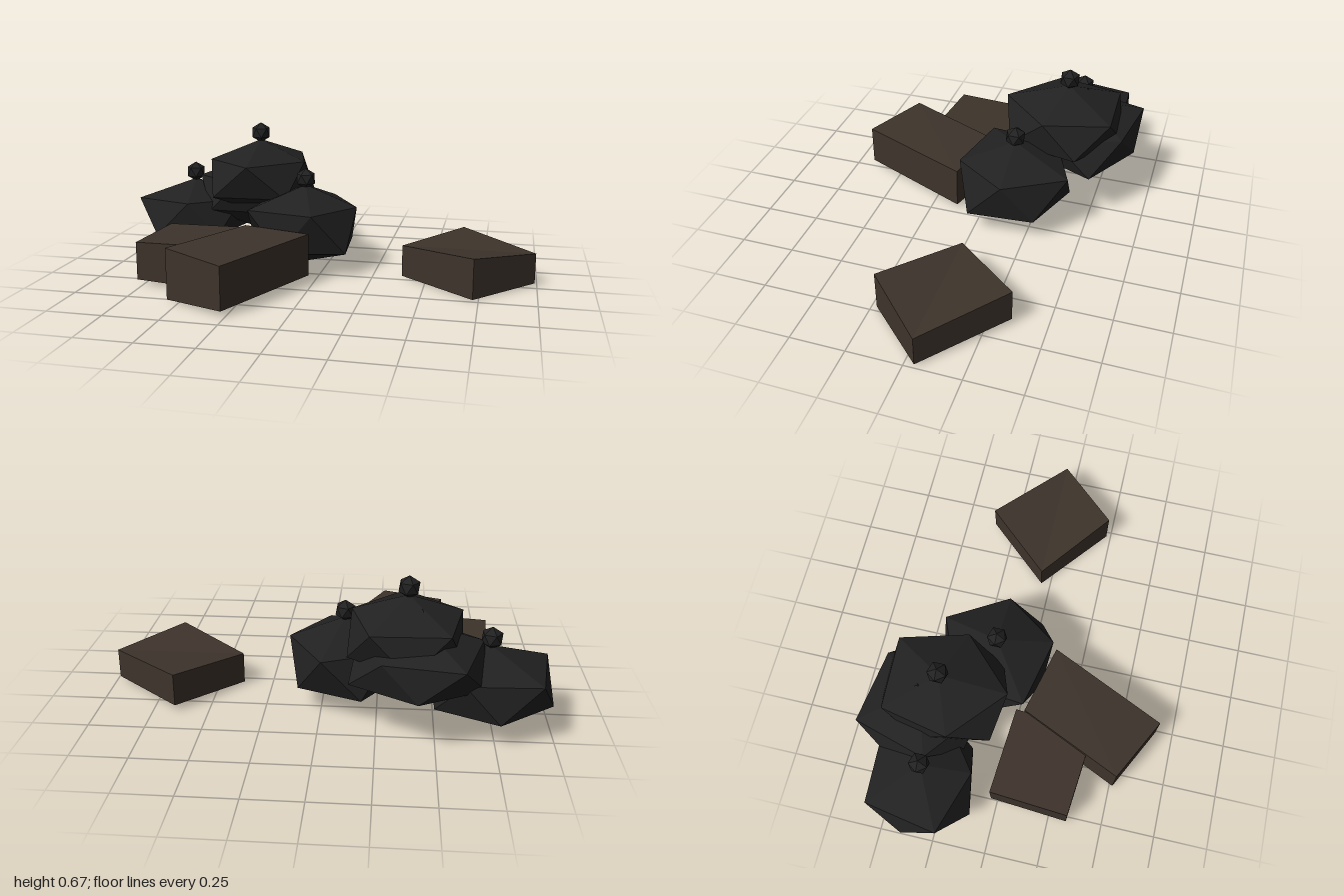
import * as THREE from 'three';

const bagBlack = new THREE.MeshStandardMaterial({ color: 0x212121, flatShading: true });
bagBlack.name = 'bag black';
const boxBrown = new THREE.MeshStandardMaterial({ color: 0x3d332b, flatShading: true });
boxBrown.name = 'cardboard brown';

// Slumped sack: top point, five upper and five lower corners alternating, bottom point
function bagGeometry(startDeg, radii, yTop, yUpper, yLower, yBottom) {
  const top = [0, yTop, 0], bottom = [0, yBottom, 0];
  const ring = (i) => {
    const a = THREE.MathUtils.degToRad(startDeg + 36 * i);
    const r = radii[i % 10];
    return [r * Math.cos(a), i % 2 ? yLower : yUpper, -r * Math.sin(a)];
  };
  const points = [];
  for (let i = 0; i < 10; i += 2) {
    const [a, b, c, d] = [ring(i), ring(i + 1), ring(i + 2), ring(i + 3)];
    points.push(top, a, c, a, b, c, b, d, c, bottom, d, b);
  }
  const geo = new THREE.BufferGeometry();
  geo.setAttribute('position', new THREE.Float32BufferAttribute(points.flat(), 3));
  geo.computeVertexNormals();
  return geo;
}

function makeBag({ name, x, z, start, radii, heights, knotY }) {
  const group = new THREE.Group();
  group.name = name;
  group.position.set(x, 0, z);
  const sack = new THREE.Mesh(bagGeometry(start, radii, ...heights), bagBlack);
  sack.name = name + 'Sack';
  // Tied knot: small faceted ball with a corner pointing up
  const knotGeo = new THREE.IcosahedronGeometry(0.05, 0);
  knotGeo.rotateZ(Math.atan(2 / (1 + Math.sqrt(5))));
  const knot = new THREE.Mesh(knotGeo, bagBlack);
  knot.name = name + 'Knot';
  knot.position.y = knotY;
  group.add(sack, knot);
  return group;
}

// Battered box: corners run round the plan as [x, z, bottom y, top y]
function makeBox(name, corners) {
  const geo = new THREE.BoxGeometry(1, 1, 1).toNonIndexed();
  const pos = geo.attributes.position;
  for (let i = 0; i < pos.count; i++) {
    const right = pos.getX(i) > 0, front = pos.getZ(i) > 0;
    const [x, z, low, high] = corners[front ? (right ? 2 : 3) : (right ? 1 : 0)];
    pos.setXYZ(i, x, pos.getY(i) > 0 ? high : low, z);
  }
  geo.computeVertexNormals();
  const mesh = new THREE.Mesh(geo, boxBrown);
  mesh.name = name;
  return mesh;
}

export function createModel() {
  const model = new THREE.Group();
  model.name = 'rubbishPile';

  // Bags; heights are top, upper corners, lower corners, bottom
  const bags = [
    { name: 'rightBag', x: -0.73, z: -0.34, start: 134, knotY: 0.405, heights: [0.37, 0.28, 0.115, 0],
      radii: [0.29, 0.28, 0.29, 0.27, 0.22, 0.25, 0.26, 0.26, 0.25, 0.24] },
    { name: 'topBag', x: -0.375, z: -0.33, start: 200, knotY: 0.62, heights: [0.585, 0.49, 0.33, 0.21],
      radii: [0.25, 0.31, 0.3, 0.3, 0.25, 0.27, 0.28, 0.27, 0.28, 0.24] },
    { name: 'leftBag', x: -0.1, z: -0.145, start: 0, knotY: 0.43, heights: [0.4, 0.3, 0.11, 0.02],
      radii: [0.25, 0.25, 0.29, 0.27, 0.26, 0.26, 0.3, 0.24, 0.26, 0.28] },
    { name: 'backBag', x: -0.43, z: -0.41, start: 124, knotY: 0.505, heights: [0.49, 0.39, 0.24, 0.11],
      radii: [0.31, 0.29, 0.28, 0.28, 0.28, 0.28, 0.28, 0.31, 0.26, 0.25] },
  ];
  bags.forEach((bag) => model.add(makeBag(bag)));

  // Boxes
  model.add(
    makeBox('rightBox', [[-0.75, -0.03, 0.03, 0.2], [-0.35, 0, 0.02, 0.21], [-0.38, 0.37, 0.01, 0.21], [-0.775, 0.335, 0.025, 0.2]]),
    makeBox('middleBox', [[-0.35, 0.04, 0.01, 0.23], [-0.025, 0.12, 0.03, 0.225], [-0.267, 0.665, 0.025, 0.217], [-0.56, 0.515, 0.005, 0.235]]),
    makeBox('leftBox', [[0.65, -0.35, 0.03, 0.18], [0.99, -0.045, 0.01, 0.15], [0.725, 0.228, 0.002, 0.185], [0.385, -0.045, 0.005, 0.152]]),
  );
  return model;
}
